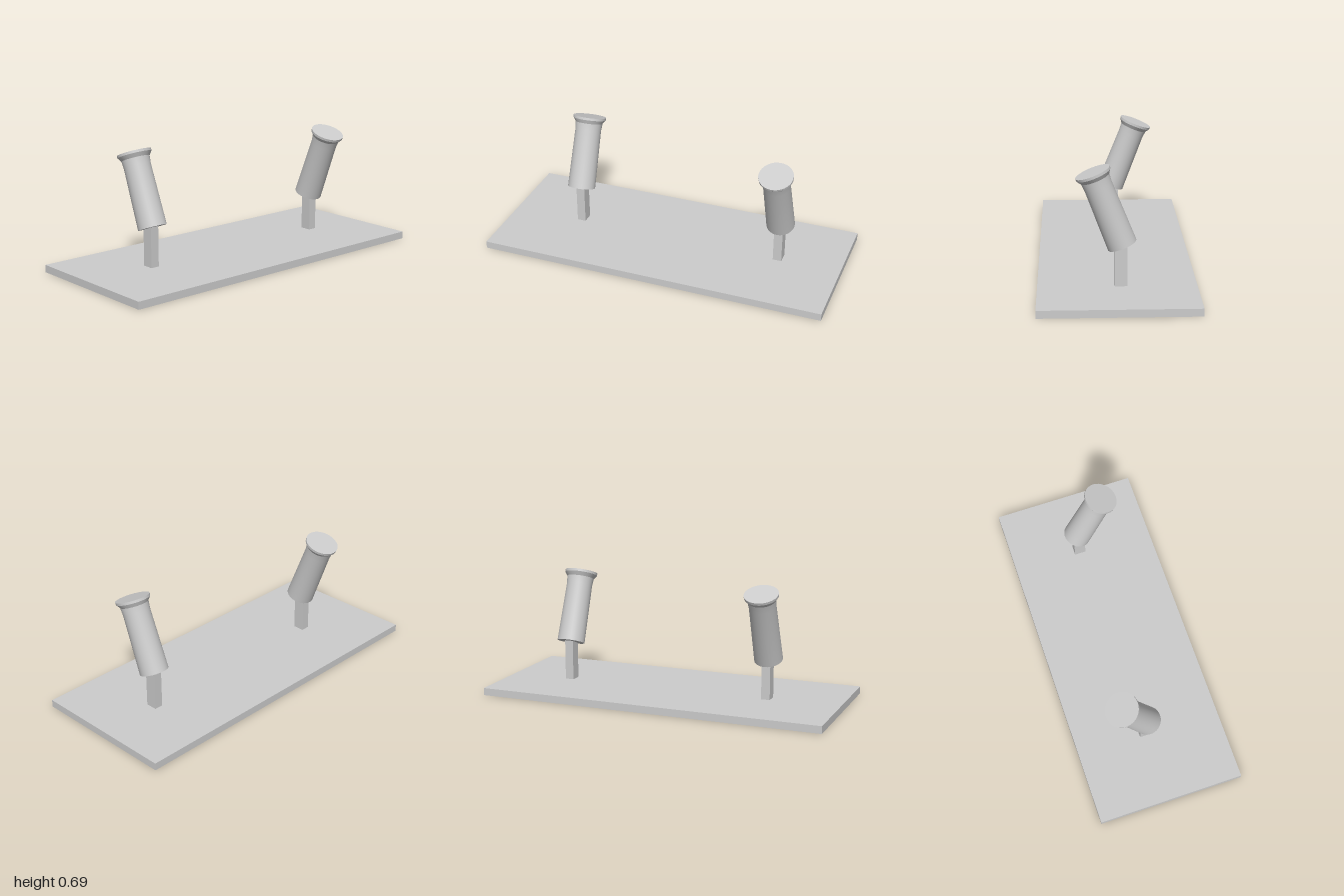
import * as THREE from 'three';
import { toCreasedNormals } from 'three/addons/utils/BufferGeometryUtils.js';

const material = new THREE.MeshStandardMaterial({ color: 0xcccccc });

function box(name, w, h, d, x, y, z) {
  const mesh = new THREE.Mesh(new THREE.BoxGeometry(w, h, d), material);
  mesh.name = name;
  mesh.position.set(x, y + h / 2, z);
  return mesh;
}

// Closed tube with a slight taper and a flared rim at the top
function barrelGeometry() {
  const profile = [
    [0, 0], [0.08, 0], [0.075, 0.342], [0.079, 0.386], [0.095, 0.408], [0.0955, 0.422], [0, 0.422],
  ].map(([r, y]) => new THREE.Vector2(r, y));
  return toCreasedNormals(new THREE.LatheGeometry(profile, 32), 0.45);
}

export function createModel() {
  const model = new THREE.Group();
  model.name = 'twinTubeStand';

  const baseHeight = 0.042;
  model.add(box('basePlate', 0.844, baseHeight, 2, 0, 0, 0));

  // Two posts, each carrying a tube; the tubes lean opposite ways
  const barrel = barrelGeometry();
  const stands = [
    { name: 'front', x: -0.005, z: 0.577, lean: 0.373 },
    { name: 'back', x: -0.025, z: -0.635, lean: -0.373 },
  ];
  for (const { name, x, z, lean } of stands) {
    const stand = new THREE.Group();
    stand.name = name + 'Stand';
    stand.add(box(name + 'Post', 0.066, 0.25, 0.05, -0.019, baseHeight, z));

    const tube = new THREE.Mesh(barrel, material);
    tube.name = name + 'Tube';
    tube.position.set(x, 0.264, z);
    tube.rotation.z = lean;
    stand.add(tube);
    model.add(stand);
  }
  return model;
}
